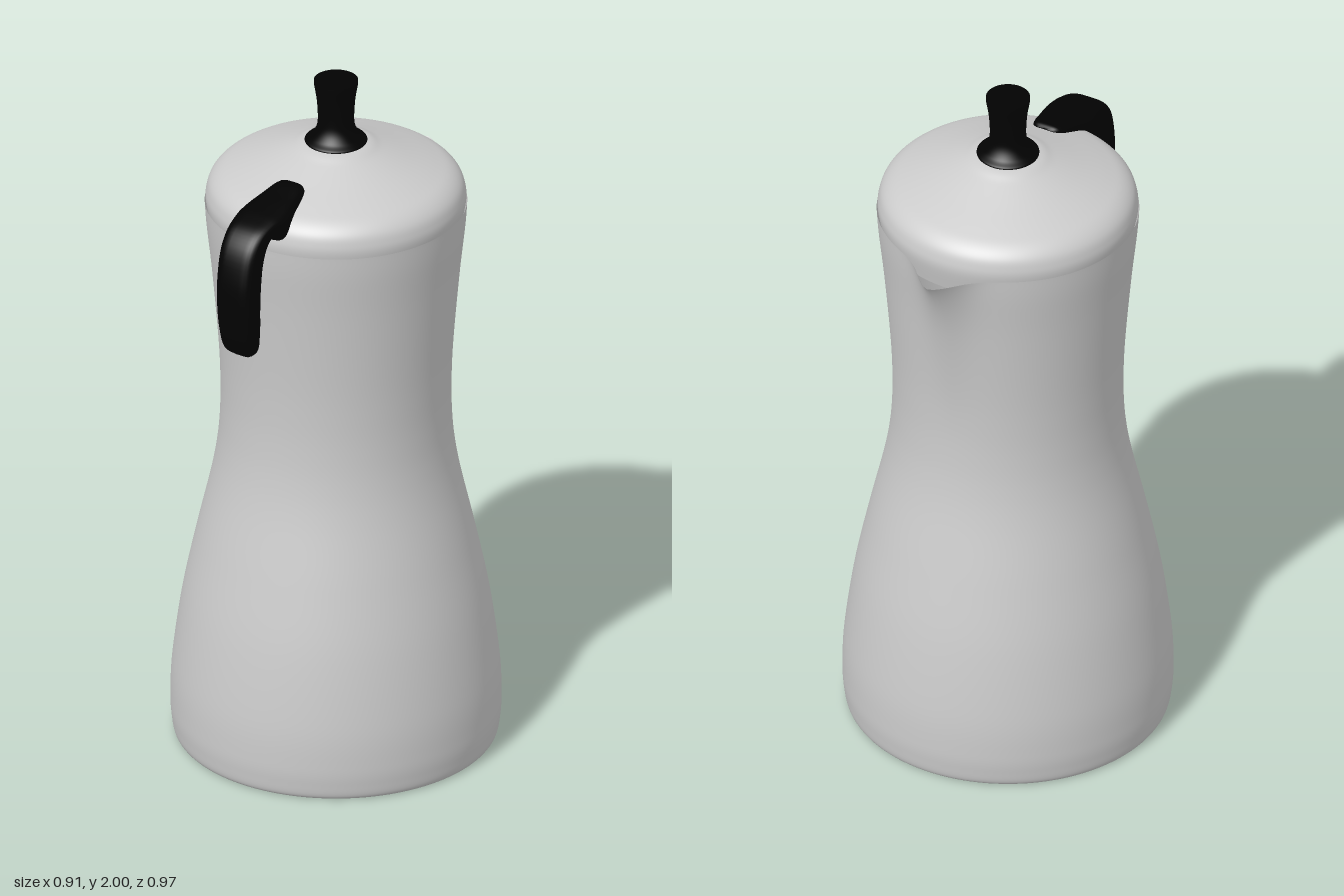
import * as THREE from 'three';
import { mergeVertices } from 'three/addons/utils/BufferGeometryUtils.js';

const AXIS_Z = -0.033; // the pot's axis sits slightly behind the centre
const grey = new THREE.MeshStandardMaterial({ color: 0xcccccc, side: THREE.DoubleSide });
const black = new THREE.MeshStandardMaterial({ color: 0x020202 });

const smoothProfile = (pts, n) =>
  new THREE.SplineCurve(pts.map(([x, y]) => new THREE.Vector2(x, y))).getPoints(n);

function part(name, geometry, material, z = 0) {
  const mesh = new THREE.Mesh(geometry, material);
  mesh.name = name;
  mesh.position.z = z;
  return mesh;
}

// Deeply domed underside, rounded rim and waisted wall in one profile,
// with the pouring lip pulled out of the back of the wall
function bodyGeometry() {
  const profile = smoothProfile([
    [0, 0.22], [0.18, 0.213], [0.3, 0.18], [0.37, 0.125], [0.41, 0.06], [0.425, 0.015], [0.433, 0.001],
    [0.445, 0.01], [0.451, 0.04], [0.455, 0.1], [0.45, 0.22], [0.423, 0.42], [0.384, 0.61],
    [0.343, 0.79], [0.325, 0.9], [0.318, 1.0], [0.318, 1.1], [0.324, 1.22], [0.341, 1.42],
    [0.356, 1.56], [0.361, 1.63],
  ], 160);
  let geo = new THREE.LatheGeometry(profile, 160);
  const p = geo.attributes.position;
  for (let i = 0; i < p.count; i++) {
    const x = p.getX(i), y = p.getY(i), z = p.getZ(i);
    const t = THREE.MathUtils.clamp((y - 1.05) / 0.58, 0, 1);
    if (t === 0) continue;
    const reach = 0.055 * t * t + 0.037 * t ** 9;
    const angle = Math.abs(Math.atan2(x, -z));
    const k = 1 + (reach * Math.exp(-((angle / 0.185) ** 1.6))) / Math.hypot(x, z);
    p.setXYZ(i, x * k, y, z * k);
  }
  geo.deleteAttribute('uv');
  geo.deleteAttribute('normal');
  geo = mergeVertices(geo);
  geo.computeVertexNormals();
  return geo;
}

// Handle: rounded sections lofted between an outer and an inner edge.
// Each row: outer z, outer y, inner z, inner y, half width
function handleGeometry() {
  const rows = [
    [0.17, 1.77, 0.174, 1.745, 0.028],
    [0.185, 1.777, 0.188, 1.72, 0.044],
    [0.25, 1.766, 0.26, 1.7, 0.06],
    [0.312, 1.755, 0.322, 1.665, 0.073],
    [0.365, 1.744, 0.347, 1.698, 0.066],
    [0.42, 1.724, 0.376, 1.675, 0.062],
    [0.46, 1.68, 0.392, 1.63, 0.06],
    [0.482, 1.6, 0.399, 1.57, 0.059],
    [0.486, 1.52, 0.402, 1.5, 0.058],
    [0.475, 1.43, 0.403, 1.42, 0.056],
    [0.455, 1.366, 0.409, 1.368, 0.048],
    [0.436, 1.348, 0.421, 1.35, 0.027],
  ];
  const outer = new THREE.CatmullRomCurve3(rows.map(([z, y, , , w]) => new THREE.Vector3(w, y, z)));
  const inner = new THREE.CatmullRomCurve3(rows.map(([, , z, y, w]) => new THREE.Vector3(w, y, z)));
  const N = 55, M = 28, pos = [], idx = [];
  const soften = (v) => Math.sign(v) * Math.abs(v) ** 0.6;
  for (let i = 0; i <= N; i++) {
    const o = outer.getPoint(i / N), n = inner.getPoint(i / N);
    for (let j = 0; j < M; j++) {
      const a = (j / M) * Math.PI * 2;
      const c = 0.5 + 0.5 * soften(Math.cos(a));
      pos.push(o.x * soften(Math.sin(a)), n.y + (o.y - n.y) * c, n.z + (o.z - n.z) * c);
    }
  }
  for (let i = 0; i < N; i++) {
    for (let j = 0; j < M; j++) {
      const a = i * M + j, b = i * M + ((j + 1) % M);
      idx.push(a, a + M, b, b, a + M, b + M);
    }
  }
  // End caps
  for (let j = 1; j < M - 1; j++) {
    idx.push(0, j, j + 1);
    idx.push(N * M, N * M + j + 1, N * M + j);
  }
  const geo = new THREE.BufferGeometry();
  geo.setAttribute('position', new THREE.Float32BufferAttribute(pos, 3));
  geo.setIndex(idx);
  geo.computeVertexNormals();
  return geo;
}

export function createModel() {
  const group = new THREE.Group();
  group.name = 'coffeePot';

  group.add(part('body', bodyGeometry(), grey, AXIS_Z));

  // Lid with a short skirt that seats inside the body
  const lid = smoothProfile([
    [0.345, 1.57], [0.358, 1.635], [0.355, 1.67], [0.343, 1.697], [0.317, 1.72], [0.275, 1.739],
    [0.2, 1.768], [0.13, 1.796], [0.085, 1.815], [0, 1.825],
  ], 60);
  group.add(part('lid', new THREE.LatheGeometry(lid, 128), grey, AXIS_Z));

  // Flared knob, with a crisp flat top
  const knob = smoothProfile([
    [0.085, 1.812], [0.085, 1.819], [0.068, 1.831], [0.054, 1.855], [0.05, 1.885],
    [0.053, 1.94], [0.06, 1.985], [0.061, 2],
  ], 40);
  group.add(part('knob', new THREE.LatheGeometry(knob, 64), black, AXIS_Z));
  const knobTop = part('knobTop', new THREE.CircleGeometry(0.061, 64), black, AXIS_Z);
  knobTop.rotation.x = -Math.PI / 2;
  knobTop.position.y = 2;
  group.add(knobTop);

  group.add(part('handle', handleGeometry(), black));
  return group;
}
